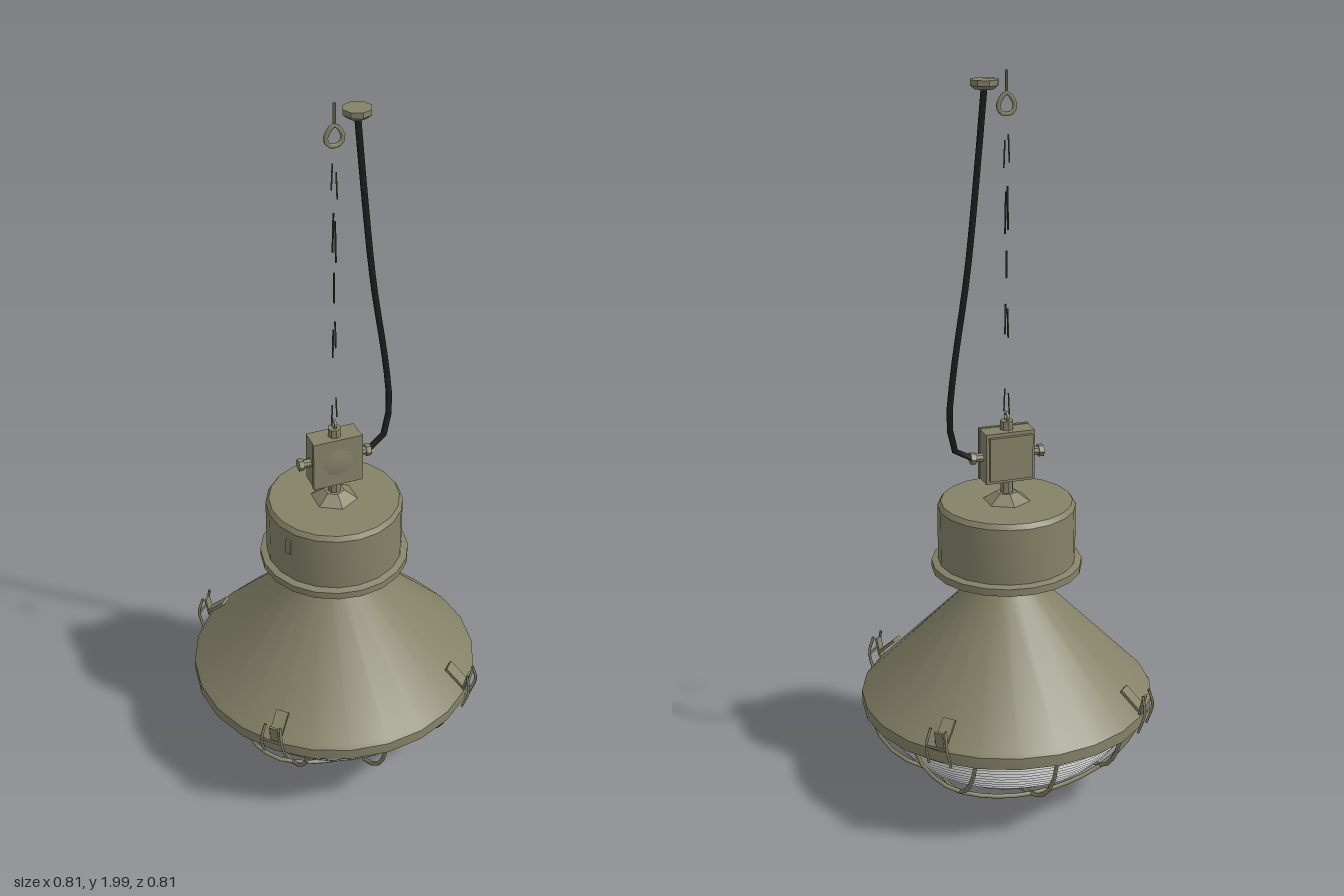
import * as THREE from 'three';
import { toCreasedNormals } from 'three/addons/utils/BufferGeometryUtils.js';

const paint = (name, color) => {
  const m = new THREE.MeshStandardMaterial({ color, side: THREE.DoubleSide });
  m.name = name;
  return m;
};

export function createModel() {
  const olive = paint('olive enamel', 0x858268);
  const glass = paint('pale glass', 0xe8e8e8);
  const rubber = paint('black rubber', 0x1d1d1b);
  const steel = paint('dark steel', 0x3c3c38);
  const lamp = new THREE.Group();
  lamp.name = 'pendantLamp';

  const add = (name, geo, mat, x = 0, y = 0, z = 0, parent = lamp) => {
    const mesh = new THREE.Mesh(geo, mat);
    mesh.name = name;
    mesh.position.set(x, y, z);
    parent.add(mesh);
    return mesh;
  };
  const lathe = (pts, seg) => toCreasedNormals(
    new THREE.LatheGeometry(pts.map(p => new THREE.Vector2(p[0], p[1])), seg), 0.55);
  const cyl = (r1, r2, h, seg) => toCreasedNormals(new THREE.CylinderGeometry(r1, r2, h, seg), 0.55);
  const tube = (pts, r, seg, closed = false, sides = 6) => new THREE.TubeGeometry(
    new THREE.CatmullRomCurve3(pts.map(p => new THREE.Vector3(...p)), closed), seg, r, sides, closed);

  // Conical shade with rim and neck
  add('shade', lathe([[0.365, 0.28], [0.375, 0.27], [0.405, 0.27], [0.405, 0.302], [0.396, 0.312],
    [0.1, 0.615], [0.093, 0.63], [0.093, 0.70]], 24), olive);

  // Gear housing with flange and stepped underside
  add('gearHousing', lathe([[0.092, 0.70], [0.125, 0.70], [0.125, 0.685], [0.155, 0.685], [0.155, 0.70],
    [0.182, 0.70], [0.187, 0.67], [0.205, 0.67], [0.205, 0.69], [0.187, 0.695],
    [0.187, 0.85], [0.178, 0.863], [0, 0.863]], 20), olive);
  const plate = add('housingPlate', new THREE.BoxGeometry(0.016, 0.045, 0.006), olive,
    -0.165, 0.8, 0.086);
  plate.rotation.y = Math.atan2(-0.165, 0.086);

  // Domed glass: smooth bowl with stepped ridges near the rim
  const bowl = y => Math.sqrt(Math.max(0, 0.413 ** 2 - (0.448 - y) ** 2));
  const profile = [[0, 0.035]];
  for (let i = 1; i <= 9; i++) {
    const y = 0.035 + 0.107 * (i / 9) ** 2;
    profile.push([bowl(y), y]);
  }
  for (let i = 0; i < 10; i++) {
    const y = 0.142 + i * 0.0133, r = bowl(y + 0.0133);
    profile.push([r, y + 0.003], [r, y + 0.0125]);
  }
  add('glassDome', lathe(profile, 32), glass);

  // Wire guard: three wires each way over the dome
  const rise = [[0, 0.014], [0.175, 0.056], [0.29, 0.112], [0.36, 0.19], [0.39, 0.272]];
  const guardY = r => {
    const i = Math.max(1, rise.findIndex(p => p[0] >= r - 1e-6));
    const [r0, y0] = rise[i - 1], [r1, y1] = rise[i];
    return y0 + (y1 - y0) * (r - r0) / (r1 - r0);
  };
  const guard = new THREE.Group();
  guard.name = 'wireGuard';
  lamp.add(guard);
  for (const off of [-0.205, 0, 0.205]) {
    const half = Math.sqrt(0.39 ** 2 - off * off);
    const along = [], across = [];
    for (let i = 0; i <= 8; i++) {
      const t = -half * Math.cos(Math.PI * i / 8);
      const y = guardY(Math.hypot(t, off));
      along.push([t, y, off]);
      across.push([off, y, t]);
    }
    add('guardWireAcross', tube(along, 0.006, 16), olive, 0, 0, 0, guard);
    add('guardWireDeep', tube(across, 0.006, 16), olive, 0, 0, 0, guard);
  }
  const ring = add('guardRing', new THREE.TorusGeometry(0.388, 0.006, 6, 24), olive, 0, 0.27, 0, guard);
  ring.rotation.x = Math.PI / 2;

  // Four toggle clips on the rim diagonals
  for (let i = 0; i < 4; i++) {
    const clip = new THREE.Group();
    clip.name = 'rimClip';
    clip.rotation.y = Math.PI / 4 + i * Math.PI / 2;
    lamp.add(clip);
    const pad = add('clipPad', new THREE.BoxGeometry(0.036, 0.008, 0.07), olive, 0, 0.347, 0.376, clip);
    pad.rotation.x = 0.75;
    const lever = add('clipLever', new THREE.BoxGeometry(0.024, 0.055, 0.006), olive, 0, 0.335, 0.407, clip);
    lever.rotation.x = 0.2;
    for (const s of [-1, 1]) {
      add('clipWire', tube([[s * 0.022, 0.372, 0.415], [s * 0.03, 0.325, 0.425], [s * 0.032, 0.265, 0.408]],
        0.004, 6), olive, 0, 0, 0, clip);
    }
    const bar = add('clipBar', cyl(0.004, 0.004, 0.06, 6), olive, 0, 0.322, 0.424, clip);
    bar.rotation.z = Math.PI / 2;
  }

  // Mount on top of the housing
  add('mountCone', cyl(0.028, 0.064, 0.024, 6), olive, 0, 0.875, 0);
  add('mountStem', cyl(0.018, 0.018, 0.05, 8), olive, 0, 0.908, 0);

  // Junction box with cover plates and cable glands
  add('junctionBox', new THREE.BoxGeometry(0.136, 0.14, 0.056), olive, 0, 0.995, -0.004);
  add('boxCover', new THREE.BoxGeometry(0.14, 0.144, 0.01), olive, 0, 0.995, 0.026);
  add('boxBack', new THREE.BoxGeometry(0.12, 0.12, 0.01), olive, 0, 0.995, -0.037);
  const boss = add('coverBoss', cyl(0.02, 0.045, 0.005, 8), olive, 0, 0.995, 0.033);
  boss.rotation.x = Math.PI / 2;
  for (const s of [-1, 1]) {
    const gland = add('cableGland', cyl(0.012, 0.012, 0.03, 8), olive, s * 0.08, 0.993, 0);
    const nut = add('glandNut', cyl(0.017, 0.017, 0.014, 6), olive, s * 0.096, 0.993, 0);
    gland.rotation.z = nut.rotation.z = Math.PI / 2;
  }
  add('topCollar', cyl(0.018, 0.018, 0.024, 8), olive, 0, 1.077, 0);
  const eye = add('topEye', new THREE.TorusGeometry(0.011, 0.004, 6, 10), olive, 0, 1.1, 0);
  eye.rotation.y = Math.PI / 2;

  // Sparse suspension chain: slim side bars of the links, turned a little each time
  [[1.14, 0.06], [1.36, 0.08], [1.51, 0.06], [1.65, 0.11], [1.8, 0.07]].forEach(([y, h], i) => {
    const link = new THREE.Group();
    link.name = 'chainLink';
    link.position.y = y;
    link.rotation.y = 0.5 + i * 0.35;
    lamp.add(link);
    for (const s of [-1, 1]) {
      const bar = add('linkBar', cyl(0.0025, 0.0025, h, 4), steel, s * 0.009, s * 0.008, 0, link);
      bar.rotation.z = s * 0.06;
    }
  });

  // Ceiling hook and cable canopy
  add('hookLoop', tube([[0, 1.945, 0], [-0.022, 1.915, 0], [-0.014, 1.895, 0], [0.014, 1.895, 0],
    [0.022, 1.915, 0]], 0.006, 12, true), olive);
  add('hookStem', cyl(0.004, 0.004, 0.06, 6), olive, 0, 1.97, 0);
  add('ceilingCanopy', lathe([[0, 1.956], [0.025, 1.956], [0.037, 1.966], [0.037, 1.98], [0, 1.982]], 8),
    olive, 0.058, 0, 0);

  // Power cable sagging to the right-hand gland
  add('powerCable', tube([[0.058, 1.96, 0], [0.075, 1.78, 0], [0.108, 1.5, -0.008], [0.15, 1.25, -0.018],
    [0.164, 1.12, -0.02], [0.155, 1.04, -0.015], [0.13, 1.0, -0.008], [0.098, 0.993, 0]],
    0.009, 16, false, 5), rubber);

  return lamp;
}
